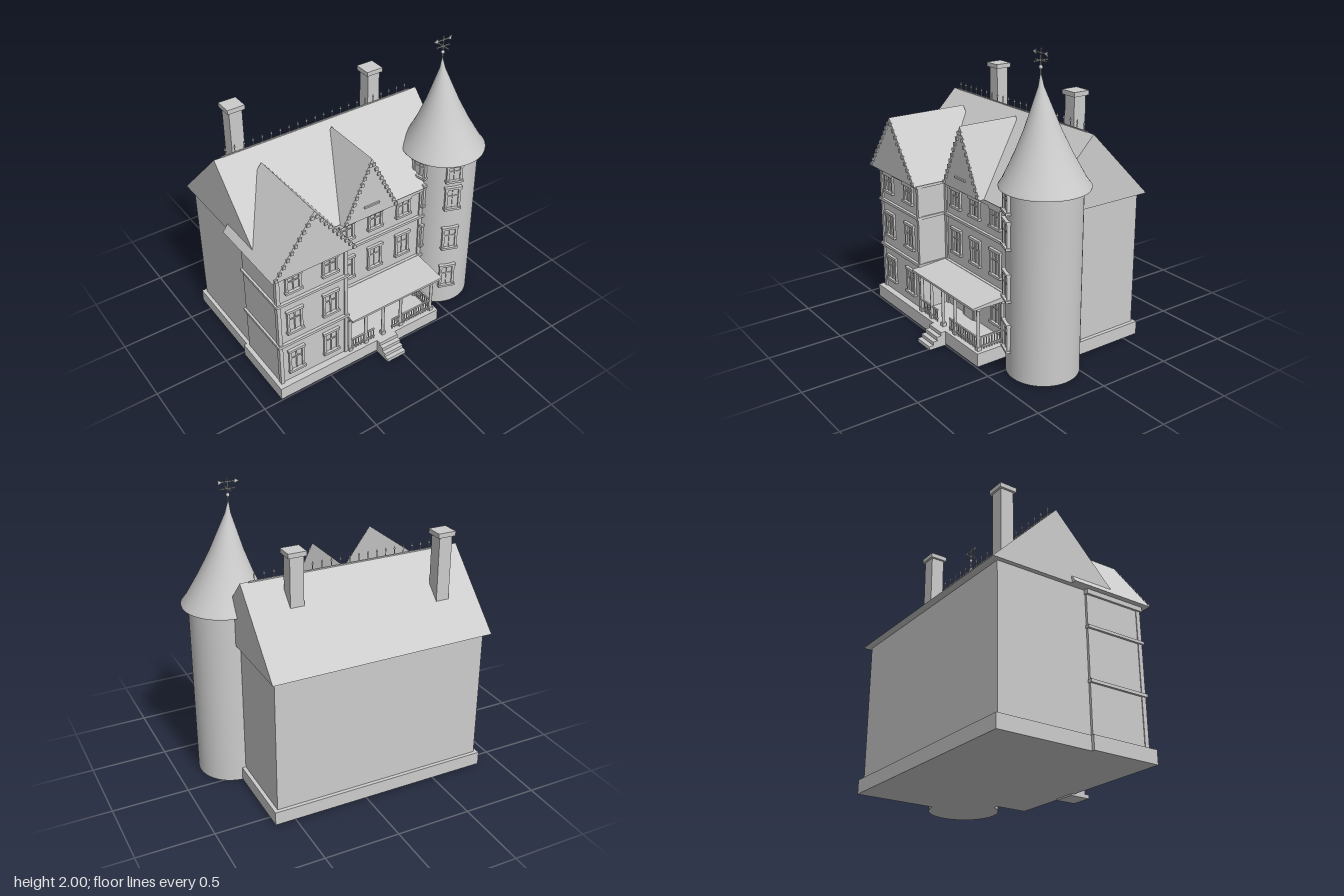
import * as THREE from 'three';

const stone = new THREE.MeshStandardMaterial({ color: 0xcccccc });
stone.name = 'pale grey';

export function createModel() {
  const house = new THREE.Group();
  house.name = 'house';

  const add = (name, geo, parent = house) => {
    const m = new THREE.Mesh(geo, stone);
    m.name = name;
    parent.add(m);
    return m;
  };
  // box given by its min and max on each axis
  const box = (name, x0, x1, y0, y1, z0, z1, parent) =>
    add(name, new THREE.BoxGeometry(x1 - x0, y1 - y0, z1 - z0)
      .translate((x0 + x1) / 2, (y0 + y1) / 2, (z0 + z1) / 2), parent);
  const rod = (name, r, y0, y1, x, z, parent, r2 = r) =>
    add(name, new THREE.CylinderGeometry(r2, r, y1 - y0, 8).translate(x, (y0 + y1) / 2, z), parent);
  // polygon in (x, y) pushed from z0 to z1
  const prism = (name, pts, z0, z1) => {
    const s = new THREE.Shape(pts.map(p => new THREE.Vector2(...p)));
    return add(name, new THREE.ExtrudeGeometry(s, { depth: z1 - z0, bevelEnabled: false }).translate(0, 0, z0));
  };

  // plinths
  box('mainPlinth', -0.855, 0.64, 0.01, 0.1, -0.6, 0.28);
  box('wingPlinth', -0.875, -0.345, 0.01, 0.1, 0.03, 0.5);
  box('porchFloor', -0.345, 0.385, 0.01, 0.1, 0.2, 0.5);

  // walls
  const mainZ = 0.25, wingZ = 0.455;
  box('mainWalls', -0.83, 0.615, 0.1, 1.0, -0.575, mainZ);
  box('wingWalls', -0.845, -0.345, 0.1, 1.0, 0.05, wingZ);

  // main roof, with its ridge along x
  const roof = prism('mainRoof', [[-0.28, 1.0], [0.625, 1.0], [0.17, 1.46]], -0.86, 0.645);
  roof.geometry.rotateY(Math.PI / 2);
  // the rotation sends (x, z) to (z, -x), so the ridge lands on z = -0.17

  // gables with a row of blocks along each rake
  const gable = (name, cx, half, top, z0, z1, n) => {
    prism(name + 'Roof', [[cx - half, 1.0], [cx + half, 1.0], [cx, top]], z0, z1);
    for (const s of [-1, 1]) for (let i = 0; i < n; i++) {
      const t = (i + 0.4) / n;
      const x = cx + s * (half - 0.012) * (1 - t), y = 1.0 + (top - 1.02) * t;
      box(name + 'RakeBlock', x - 0.011, x + 0.011, y - 0.011, y + 0.011, z1 - 0.005, z1 + 0.008);
    }
  };
  gable('wing', -0.6, 0.295, 1.4, -0.07, 0.512, 10);
  gable('dormer', -0.06, 0.21, 1.43, -0.12, 0.315, 10);
  box('dormerLedge', -0.115, 0.0, 1.08, 1.092, 0.31, 0.325);

  // bands and corner strips
  for (const [y0, y1] of [[0.415, 0.435], [0.752, 0.77], [0.97, 1.0]]) {
    box('wingBand', -0.86, -0.335, y0, y1, 0.045, wingZ + 0.02);
    box('mainBand', -0.345, 0.42, y0, y1, mainZ - 0.02, mainZ + 0.02);
  }
  for (const x of [-0.85, -0.365]) box('wingCornerStrip', x, x + 0.025, 0.1, 0.98, wingZ - 0.02, wingZ + 0.01);
  for (const x of [-0.345, 0.375]) box('mainCornerStrip', x, x + 0.025, 0.1, 0.98, mainZ - 0.01, mainZ + 0.01);

  // window facing +z, centred on x = 0, resting on y = 0
  const makeWindow = (h, w = 0.11) => {
    const g = new THREE.Group(), a = w / 2, b = a - 0.016;
    g.name = 'window';
    box('windowPane', -b, b, 0.01, h - 0.01, -0.01, 0.004, g);
    for (const s of [-1, 1]) box('windowJamb', Math.min(s * a, s * b), Math.max(s * a, s * b), 0, h, -0.01, 0.014, g);
    box('windowSill', -a - 0.006, a + 0.006, 0, 0.016, -0.01, 0.024, g);
    box('windowHead', -a - 0.006, a + 0.006, h - 0.018, h, -0.01, 0.02, g);
    box('windowMullion', -0.004, 0.004, 0.01, h - 0.01, 0, 0.01, g);
    box('windowBar', -b, b, h * 0.58, h * 0.58 + 0.007, 0, 0.01, g);
    house.add(g);
    return g;
  };
  const floors = [[0.17, 0.19], [0.505, 0.185], [0.83, 0.14]];
  floors.forEach(([y, h], i) => {
    for (const x of [-0.73, -0.47]) makeWindow(h).position.set(x, y, wingZ);
    for (const x of i ? [-0.205, 0.015, 0.24] : [0.24]) makeWindow(h).position.set(x, y, mainZ);
  });

  // front door
  box('doorFrame', -0.13, 0.015, 0.1, 0.385, mainZ, mainZ + 0.015);
  box('door', -0.11, -0.005, 0.1, 0.36, mainZ, mainZ + 0.022);
  box('doorLintel', -0.14, 0.025, 0.36, 0.38, mainZ, mainZ + 0.03);

  // porch roof, posts and railing
  const porchRoof = prism('porchRoof', [[-0.525, 0.398], [-0.24, 0.398], [-0.24, 0.435], [-0.525, 0.413]], -0.345, 0.38);
  porchRoof.geometry.rotateY(Math.PI / 2);
  const postZ = 0.465;
  const post = (x, z) => {
    rod('porchPost', 0.011, 0.1, 0.4, x, z);
    box('postFoot', x - 0.015, x + 0.015, 0.1, 0.125, z - 0.015, z + 0.015);
    box('postHead', x - 0.017, x + 0.017, 0.375, 0.4, z - 0.017, z + 0.017);
  };
  for (const x of [-0.325, -0.2, -0.06, 0.085, 0.345]) post(x, postZ);
  post(0.345, 0.28);
  const railing = (x0, z0, x1, z1) => {
    const n = Math.round(Math.hypot(x1 - x0, z1 - z0) / 0.02);
    for (const y of [0.115, 0.178])
      box('porchRail', x0 - 0.005, x1 + 0.005, y, y + 0.01, Math.min(z0, z1) - 0.005, Math.max(z0, z1) + 0.005);
    for (let i = 0; i <= n; i++) {
      const t = i / n;
      rod('baluster', 0.004, 0.1, 0.18, x0 + (x1 - x0) * t, z0 + (z1 - z0) * t);
    }
  };
  railing(-0.32, postZ, -0.135, postZ);
  railing(0.02, postZ, 0.345, postZ);
  railing(0.345, 0.28, 0.345, postZ);

  // entrance steps
  for (let i = 0; i < 4; i++)
    box('step', -0.13, 0.015, 0, 0.025 * (i + 1), 0.48, 0.622 - 0.03 * i);

  // chimneys
  for (const [x, z] of [[-0.61, -0.378], [0.345, -0.275]]) {
    box('chimneyShaft', x - 0.045, x + 0.045, 1.08, 1.64, z - 0.045, z + 0.045);
    box('chimneyCap', x - 0.06, x + 0.06, 1.628, 1.658, z - 0.058, z + 0.058);
  }

  // ridge cresting
  box('ridgeBar', -0.81, 0.59, 1.456, 1.464, -0.176, -0.168);
  for (let i = 0; i < 22; i++) {
    const x = -0.78 + i * 0.0635;
    rod('ridgeSpike', 0.003, 1.45, 1.505, x, -0.172);
    rod('ridgeSpikeTip', 0.007, 1.498, 1.52, x, -0.172, house, 0);
  }

  // round tower
  const tx = 0.62, tz = 0.172, tr = 0.23;
  add('towerWall', new THREE.CylinderGeometry(tr, tr, 1.2, 64).translate(tx, 0.61, tz));

  // flared spire whose tip leans toward -x
  const profile = [[0.001, 1.2], [0.274, 1.2], [0.274, 1.2], [0.275, 1.21], [0.25, 1.245], [0.17, 1.4],
    [0.108, 1.54], [0.048, 1.7], [0.018, 1.78], [0.004, 1.85]].map(p => new THREE.Vector2(...p));
  const spire = new THREE.LatheGeometry(profile, 64);
  const p = spire.attributes.position;
  for (let i = 0; i < p.count; i++) p.setX(i, p.getX(i) - 0.053 * Math.max(0, (p.getY(i) - 1.21) / 0.64));
  add('towerSpire', spire.translate(tx, 0, tz));

  // tower windows, in two columns around the wall
  for (const deg of [-20, -78]) for (const [y, h] of [[0.17, 0.19], [0.505, 0.185], [0.84, 0.18], [1.06, 0.135]]) {
    const a = THREE.MathUtils.degToRad(deg), w = makeWindow(h, 0.105);
    w.position.set(tx + tr * Math.sin(a), y, tz + tr * Math.cos(a));
    w.rotation.y = a;
  }

  // weather vane
  const vx = tx - 0.053;
  rod('vaneRod', 0.004, 1.82, 2.0, vx, tz);
  add('vaneBall', new THREE.SphereGeometry(0.012, 16, 12).translate(vx, 1.89, tz));
  box('vaneCrossX', vx - 0.05, vx + 0.05, 1.926, 1.932, tz - 0.003, tz + 0.003);
  box('vaneCrossZ', vx - 0.003, vx + 0.003, 1.926, 1.932, tz - 0.05, tz + 0.05);
  box('vaneArrowShaft', vx - 0.06, vx + 0.06, 1.969, 1.975, tz - 0.003, tz + 0.003);
  prism('vaneArrowHead', [[vx - 0.075, 1.972], [vx - 0.045, 1.957], [vx - 0.045, 1.987]], tz - 0.003, tz + 0.003);
  prism('vaneArrowTail', [[vx + 0.03, 1.972], [vx + 0.06, 1.957], [vx + 0.06, 1.987]], tz - 0.003, tz + 0.003);

  return house;
}
